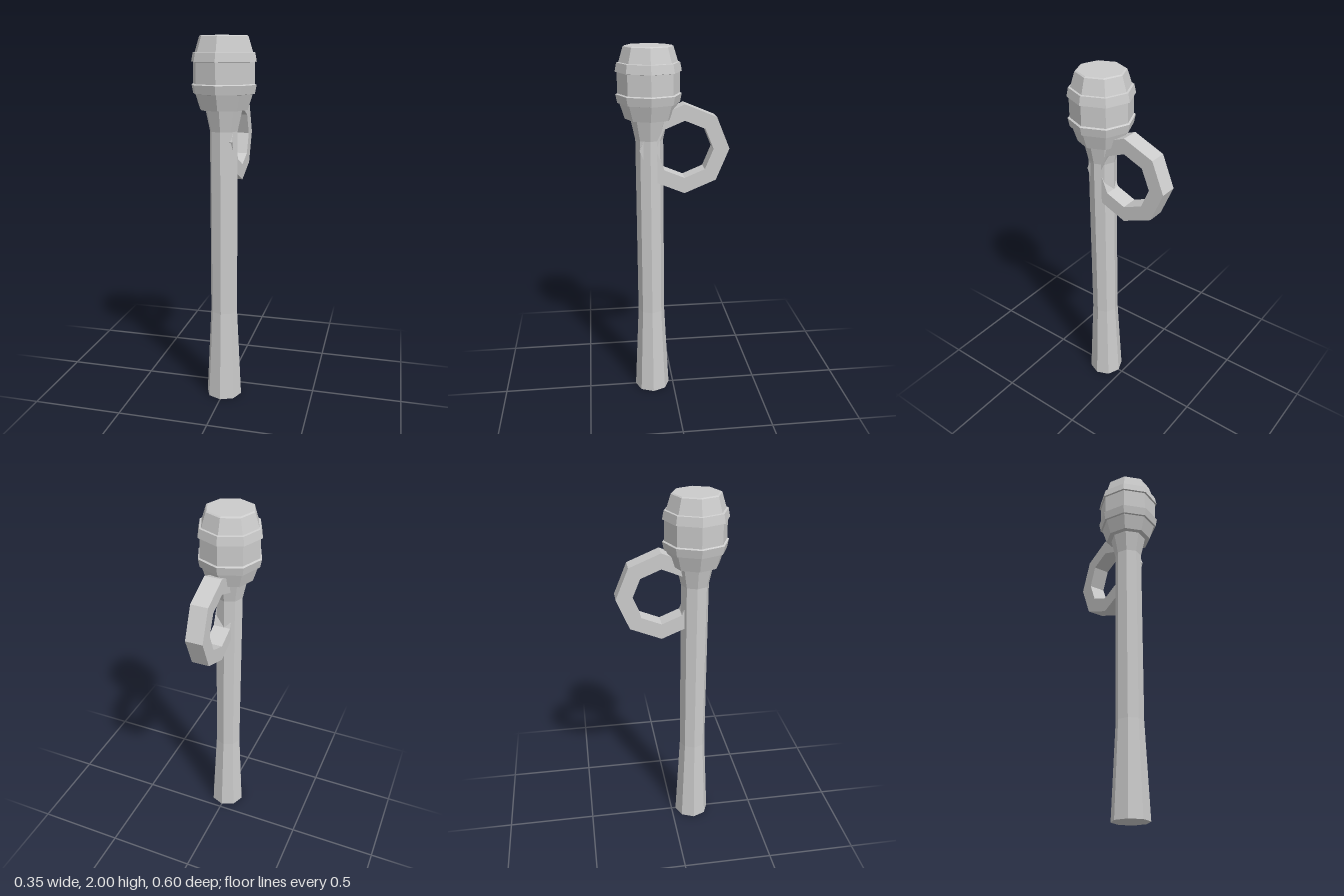
import * as THREE from 'three';

const SIDES = 8;
const AXIS_Z = 0.125; // the upright axis sits forward of the origin

export function createModel() {
  const group = new THREE.Group();
  const material = new THREE.MeshStandardMaterial({ color: 0xcccccc, flatShading: true });

  const add = (name, geometry, x, y, z) => {
    const mesh = new THREE.Mesh(geometry, material);
    mesh.name = name;
    mesh.position.set(x, y, z);
    group.add(mesh);
    return mesh;
  };

  // Eight-sided turned part from [radius, height] pairs, bottom to top
  const turned = (name, profile) =>
    add(name, new THREE.LatheGeometry(profile.map(([r, y]) => new THREE.Vector2(r, y)), SIDES), 0, 0, AXIS_Z);

  // Shaft, flared at the foot and under the head
  turned('shaft', [
    [0, 0], [0.1, 0], [0.075, 0.51], [0.075, 1.515], [0.1, 1.63], [0, 1.63],
  ]);

  // Barrel-shaped head with two raised bands
  turned('head', [
    [0, 1.627], [0.128, 1.627], [0.154, 1.708],
    [0.165, 1.71], [0.174, 1.755], [0.164, 1.76], // lower band
    [0.164, 1.868],
    [0.174, 1.87], [0.165, 1.916], [0.154, 1.918], // upper band
    [0.13, 1.995], [0.122, 2], [0, 2],
  ]);

  // Octagonal ring handle, running through the shaft
  const octagon = (r) => Array.from({ length: SIDES }, (_, i) => {
    const a = (i / SIDES) * Math.PI * 2;
    return new THREE.Vector2(r * Math.cos(a), r * Math.sin(a));
  });
  const ring = new THREE.Shape(octagon(0.241));
  ring.holes.push(new THREE.Path(octagon(0.155)));
  const width = 0.095;
  const handleGeometry = new THREE.ExtrudeGeometry(ring, { depth: width, bevelEnabled: false });
  handleGeometry.translate(0, 0, -width / 2).rotateY(Math.PI / 2);
  add('handle', handleGeometry, 0.0125, 1.465, -0.059);

  return group;
}
